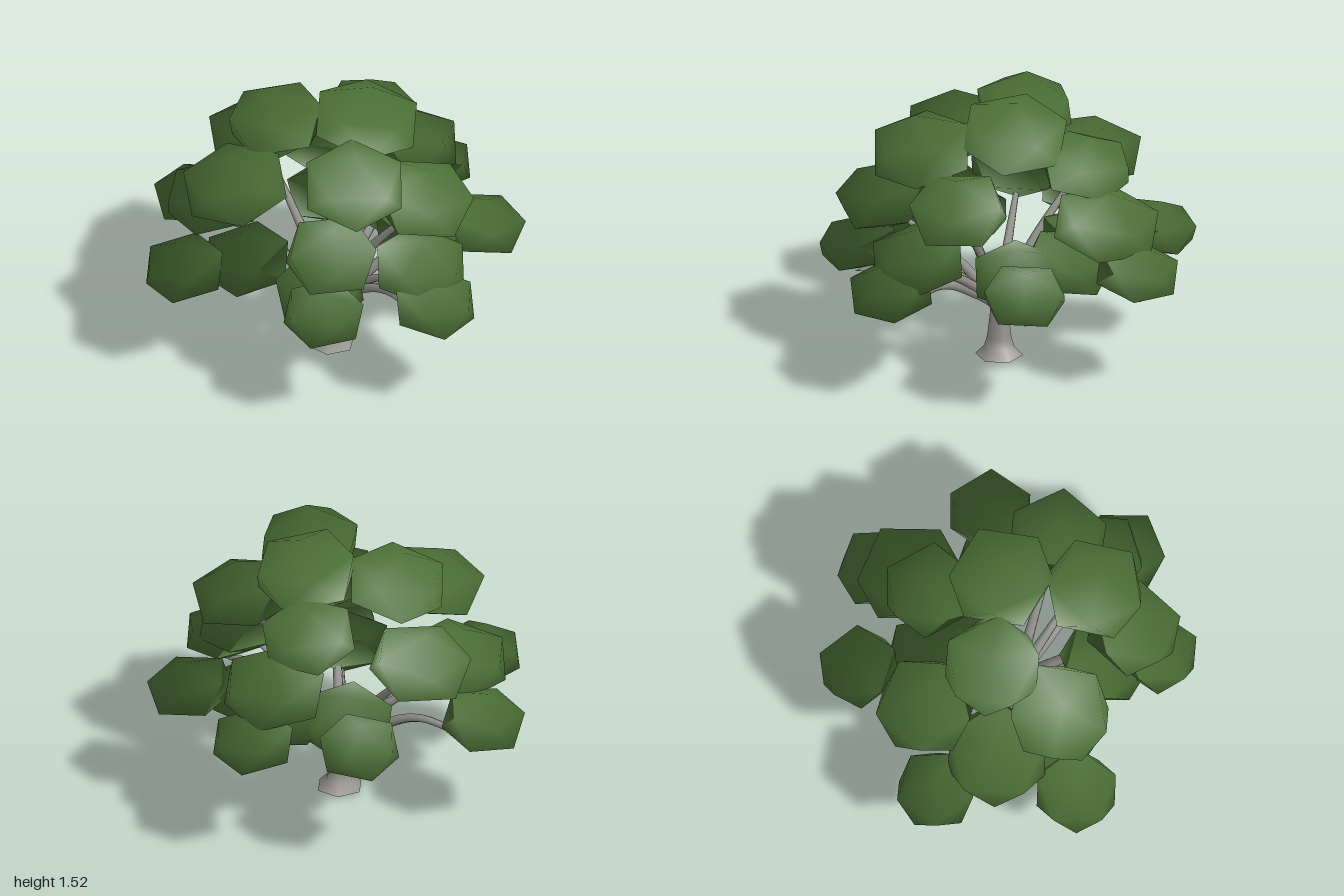
import * as THREE from 'three';
import { mergeVertices } from 'three/addons/utils/BufferGeometryUtils.js';

const material = (name, color) => new THREE.MeshStandardMaterial({ name, color });

// Leaf clumps: centre x, y, z, half width, half height
const CROWN = [
  [0.21, 1.33, 0.01, 0.265, 0.195],
  [-0.2, 1.28, -0.23, 0.25, 0.19],
  [-0.02, 1.23, 0.44, 0.255, 0.205],
  [0.36, 1.15, -0.33, 0.235, 0.175],
  [-0.52, 1.09, 0.01, 0.26, 0.19],
];
const MIDDLE = [
  [0.38, 1.04, 0.41, 0.25, 0.185],
  [-0.16, 0.99, -0.59, 0.255, 0.18],
  [-0.2, 0.92, 0.58, 0.235, 0.18],
  [0.57, 0.9, -0.35, 0.265, 0.185],
  [-0.5, 0.81, -0.34, 0.26, 0.18],
  [0.29, 0.76, 0.6, 0.235, 0.18],
];
const OUTER = [
  [0.78, 0.68, 0.21, 0.215, 0.145],
  [0.74, 0.68, -0.45, 0.21, 0.145],
  [0.28, 0.69, -0.77, 0.205, 0.145],
  [-0.48, 0.62, -0.68, 0.205, 0.165],
  [-0.79, 0.62, -0.02, 0.21, 0.16],
  [0.31, 0.62, 0.76, 0.21, 0.155],
  [-0.28, 0.64, 0.68, 0.205, 0.145],
];
const INNER = [
  [-0.2, 0.61, 0.41, 0.225, 0.17],
  [-0.45, 0.61, 0.0, 0.225, 0.17],
  [0.46, 0.64, 0.1, 0.23, 0.165],
  [0.43, 0.65, -0.2, 0.23, 0.16],
  [0.18, 0.64, -0.41, 0.235, 0.165],
];

const TRUNK_TOP = new THREE.Vector3(0.015, 0.28, 0.01);
const CROWN_CENTRE = new THREE.Vector3(0, 0.72, 0);
const UP = new THREE.Vector3(0, 1, 0);

// Icosahedron standing on a corner, with shared vertices
function unitClump() {
  const geometry = new THREE.IcosahedronGeometry(1, 0);
  geometry.deleteAttribute('normal');
  geometry.deleteAttribute('uv');
  geometry.rotateZ(-Math.atan(2 / (1 + Math.sqrt(5))));
  return mergeVertices(geometry, 1e-4);
}

// Squashed clump leaning outward; soft normals follow the whole crown
function clumpGeometry([x, y, z, halfWidth, halfHeight], index) {
  const geometry = unitClump();
  geometry.rotateY(index * 1.9);
  geometry.scale(halfWidth / 0.88, halfHeight, halfWidth / 0.88);
  const outward = new THREE.Vector3(x, 0, z).normalize();
  const axis = new THREE.Vector3().crossVectors(UP, outward).normalize();
  geometry.applyQuaternion(new THREE.Quaternion().setFromAxisAngle(axis, 0.17));
  geometry.computeVertexNormals();
  const radial = new THREE.Vector3(x, y, z).sub(CROWN_CENTRE).normalize();
  const normals = geometry.attributes.normal;
  const n = new THREE.Vector3();
  for (let i = 0; i < normals.count; i++) {
    n.fromBufferAttribute(normals, i).multiplyScalar(0.5).addScaledVector(radial, 0.7).normalize();
    normals.setXYZ(i, n.x, n.y, n.z);
  }
  geometry.translate(x, y, z);
  return geometry;
}

// Tapered tube with a closed tip
function branchGeometry(points, startRadius, endRadius) {
  const curve = new THREE.CatmullRomCurve3([TRUNK_TOP, ...points]);
  const segments = 16, sides = 6;
  const geometry = new THREE.TubeGeometry(curve, segments, 1, sides, false);
  const position = geometry.attributes.position;
  const v = new THREE.Vector3();
  for (let i = 0; i < position.count; i++) {
    const ring = Math.floor(i / (sides + 1));
    const t = ring / segments;
    const centre = curve.getPointAt(t);
    const radius = ring === segments ? 0 : THREE.MathUtils.lerp(startRadius, endRadius, t);
    v.fromBufferAttribute(position, i).sub(centre).multiplyScalar(radius).add(centre);
    position.setXYZ(i, v.x, v.y, v.z);
  }
  return geometry;
}

export function createModel() {
  const model = new THREE.Group();
  model.name = 'tree';
  const bark = material('bark', 0x95938d);
  const leaves = material('leaves', 0x4b6f36);

  const addGroup = (name) => {
    const group = new THREE.Group();
    group.name = name;
    model.add(group);
    return group;
  };
  const add = (parent, name, geometry, mat) => {
    const mesh = new THREE.Mesh(geometry, mat);
    mesh.name = name;
    parent.add(mesh);
  };

  // Flared six-sided trunk with a flat underside
  const trunk = addGroup('trunk');
  trunk.position.set(0.015, 0, 0.01);
  const profile = [[0.125, 0], [0.078, 0.05], [0.064, 0.1], [0.052, 0.2], [0.043, 0.3], [0, 0.32]]
    .map(([r, y]) => new THREE.Vector2(r, y));
  add(trunk, 'trunkSides', new THREE.LatheGeometry(profile, 6, Math.PI / 2), bark);
  add(trunk, 'trunkUnderside', new THREE.CircleGeometry(0.125, 6).rotateX(Math.PI / 2), bark);

  // Rising branches carry the middle tier; arching ones droop under the outer tier
  const branches = addGroup('branches');
  MIDDLE.forEach(([x, y, z]) => {
    const points = [
      new THREE.Vector3(x * 0.4, 0.28 + (y - 0.28) * 0.45, z * 0.4),
      new THREE.Vector3(x * 0.95, y - 0.06, z * 0.95),
    ];
    add(branches, 'risingBranch', branchGeometry(points, 0.036, 0.012), bark);
  });
  OUTER.forEach(([x, y, z]) => {
    const points = [
      new THREE.Vector3(x * 0.22, 0.4, z * 0.22),
      new THREE.Vector3(x * 0.55, y - 0.09, z * 0.55),
      new THREE.Vector3(x * 1.03, y - 0.165, z * 1.03),
    ];
    add(branches, 'archingBranch', branchGeometry(points, 0.036, 0.013), bark);
  });

  // Leaf clumps
  const foliage = addGroup('foliage');
  [...CROWN, ...MIDDLE, ...OUTER, ...INNER].forEach((clump, i) =>
    add(foliage, 'leafClump', clumpGeometry(clump, i), leaves));

  return model;
}
